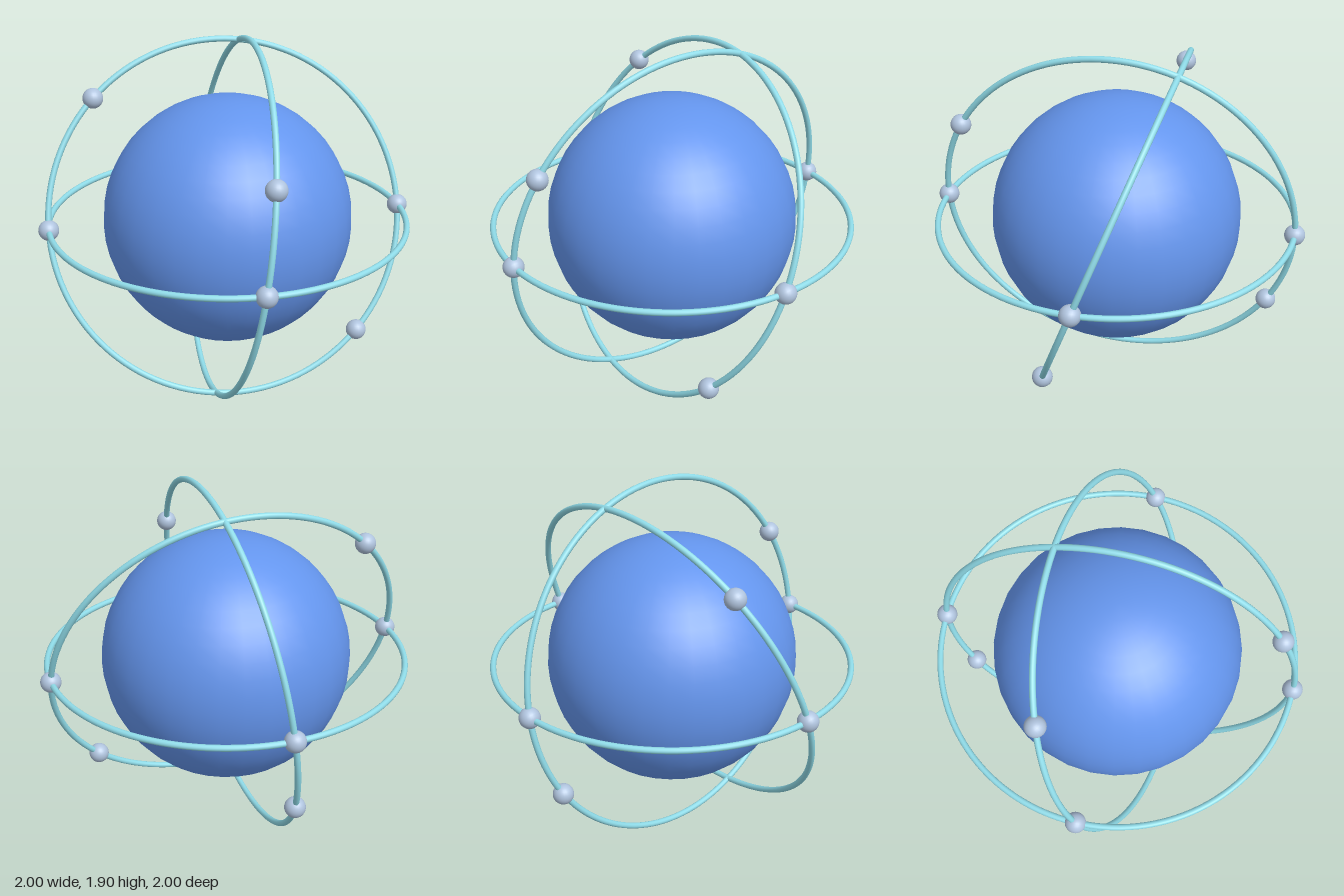
import * as THREE from 'three';

const RING = 0.946, TUBE = 0.016, NODE = 0.054, CORE = 0.66;

export function createModel() {
  const model = new THREE.Group();
  model.name = 'orbitSphere';
  const coreMat = new THREE.MeshStandardMaterial({ color: 0x6495ed });
  const ringMat = new THREE.MeshStandardMaterial({ color: 0x8fdbe8 });
  const nodeMat = new THREE.MeshStandardMaterial({ color: 0xb0c4de });

  // central sphere
  const core = new THREE.Mesh(new THREE.SphereGeometry(CORE, 32, 24), coreMat);
  core.name = 'coreSphere';
  model.add(core);

  // each ring lies in the plane of two unit directions u and v;
  // its beads sit at the given angles from u towards v
  const ringGeo = new THREE.TorusGeometry(RING, TUBE, 12, 128);
  const nodeGeo = new THREE.SphereGeometry(NODE, 24, 16);
  const addOrbit = (name, u, v, angles) => {
    const orbit = new THREE.Group();
    orbit.name = name;
    const ring = new THREE.Mesh(ringGeo, ringMat);
    ring.name = name + 'Ring';
    orbit.add(ring);
    for (const deg of angles) {
      const a = THREE.MathUtils.degToRad(deg);
      const node = new THREE.Mesh(nodeGeo, nodeMat);
      node.name = name + 'Bead';
      node.position.set(RING * Math.cos(a), RING * Math.sin(a), 0);
      orbit.add(node);
    }
    const basis = new THREE.Matrix4().makeBasis(u, v, new THREE.Vector3().crossVectors(u, v));
    orbit.quaternion.setFromRotationMatrix(basis);
    model.add(orbit);
  };

  const X = new THREE.Vector3(1, 0, 0), Z = new THREE.Vector3(0, 0, 1);
  const leanBack = 0.362, leanSide = 0.141;
  addOrbit('equator', X, Z, [0, 90, 180, 270]);
  // ring tilted backwards about the x axis
  addOrbit('backTilted', X, new THREE.Vector3(0, Math.cos(leanBack), -Math.sin(leanBack)), [135, 315]);
  // ring tilted sideways about the z axis
  addOrbit('sideTilted', Z, new THREE.Vector3(Math.sin(leanSide), Math.cos(leanSide), 0), [30, 210]);

  // lift so that the lowest ring rests on the ground
  model.children.forEach((part) => { part.position.y = RING * Math.cos(leanSide) + TUBE + 0.002; });
  return model;
}
